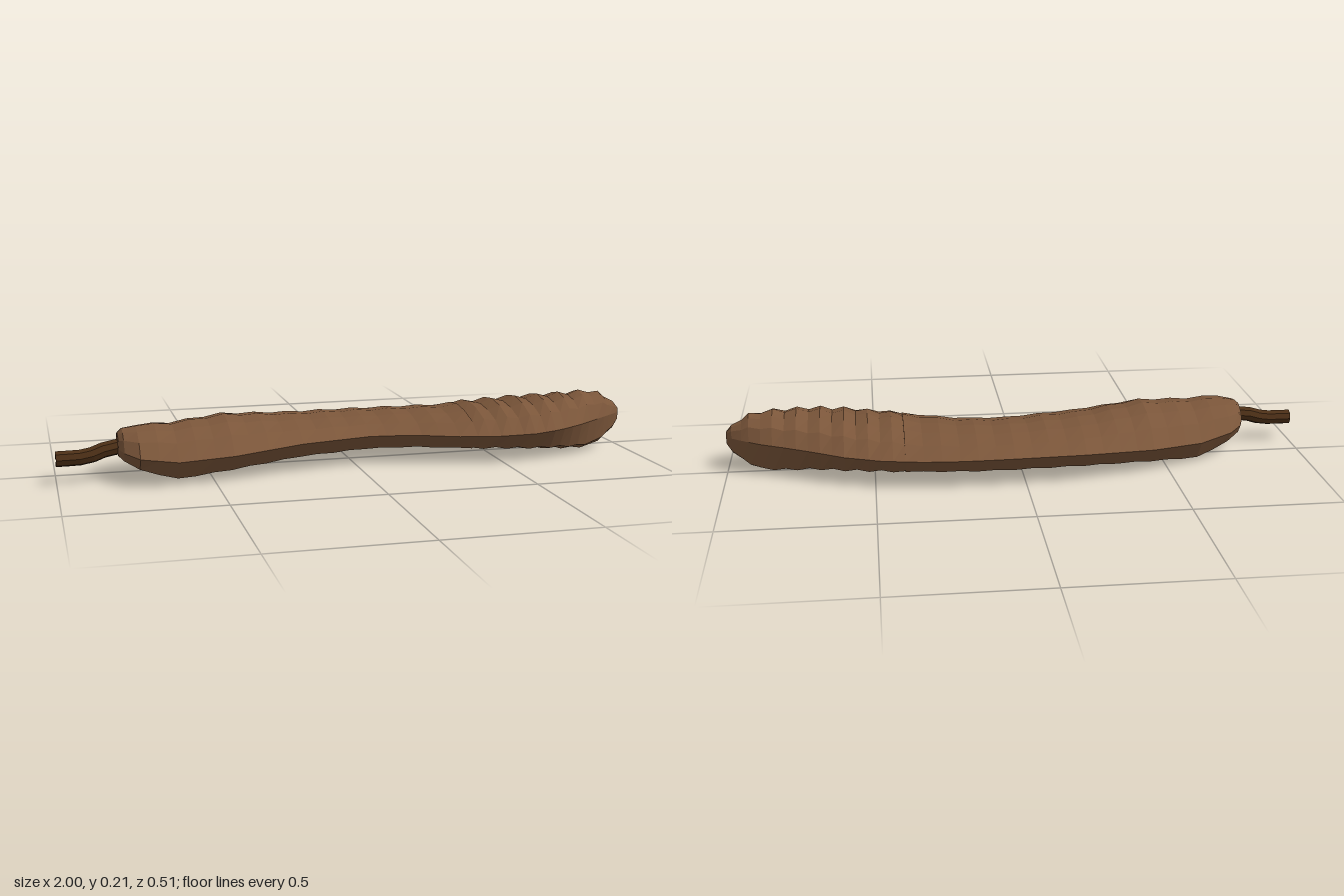
import * as THREE from 'three';

// Stations along the pod: x, back z, front z, seam y, top y, bottom y
const STATIONS = [
  [-0.8, 0.02, 0.14, 0.115, 0.16, 0.085],
  [-0.785, -0.02, 0.18, 0.11, 0.173, 0.07],
  [-0.74, -0.065, 0.235, 0.1, 0.182, 0.045],
  [-0.62, -0.125, 0.256, 0.088, 0.178, 0.005],
  [-0.44, -0.19, 0.243, 0.095, 0.19, 0.022],
  [-0.2, -0.244, 0.18, 0.108, 0.168, 0.038],
  [0.05, -0.259, 0.131, 0.11, 0.162, 0.042],
  [0.2, -0.257, 0.145, 0.108, 0.163, 0.042],
  [0.35, -0.242, 0.2, 0.106, 0.168, 0.04],
  [0.48, -0.219, 0.228, 0.107, 0.186, 0.038],
  [0.6, -0.18, 0.235, 0.11, 0.198, 0.032],
  [0.7, -0.132, 0.216, 0.115, 0.205, 0.025],
  [0.8, -0.09, 0.17, 0.12, 0.208, 0.013],
  [0.88, -0.06, 0.12, 0.124, 0.211, 0.012],
  [0.94, -0.027, 0.082, 0.127, 0.195, 0.038],
  [0.98, 0.003, 0.053, 0.127, 0.167, 0.07],
  [1.0, 0.027, 0.033, 0.125, 0.142, 0.1],
];

// Angular section with sharp side seams: [across -1..1, height -1..1]
const SECTION = [
  [-1, 0], [-0.72, 0.58], [-0.36, 0.88], [0, 1], [0.36, 0.88], [0.72, 0.58],
  [1, 0], [0.74, -0.78], [0.3, -0.98], [-0.25, -1], [-0.72, -0.86],
];

function stationAt(x) {
  let i = 0;
  while (i < STATIONS.length - 2 && STATIONS[i + 1][0] < x) i++;
  const a = STATIONS[i], b = STATIONS[i + 1];
  const t = (x - a[0]) / (b[0] - a[0]);
  return a.map((v, k) => THREE.MathUtils.lerp(v, b[k], t));
}

function podGeometry() {
  // Ring positions: broad ribs on the body, tight wrinkles near the tip
  const xs = [-0.8, -0.785, -0.74];
  for (let x = -0.68; x < 0.4; x += 0.06) xs.push(x);
  for (let x = 0.4; x < 0.93; x += 0.04) xs.push(x);
  xs.push(0.945, 0.98, 1);

  const positions = [], index = [], n = SECTION.length;
  xs.forEach((x, i) => {
    const [, back, front, seam, top, bottom] = stationAt(x);
    const strength = x > 0.95 || x < -0.75 ? 0 : x > 0.4 ? 0.007 : 0.003;
    const ripple = strength * (i % 2 ? 1 : -1);
    for (const [u, h] of SECTION) {
      const y = h > 0
        ? seam + h * (top - seam + ripple)
        : seam + h * (seam - bottom + ripple * 0.6);
      positions.push(x, Math.max(0, y), (back + front) / 2 + u * (front - back) / 2);
    }
  });
  for (let i = 0; i < xs.length - 1; i++) {
    for (let j = 0; j < n; j++) {
      const a = i * n + j, b = i * n + (j + 1) % n;
      index.push(a, b, a + n, b, b + n, a + n);
    }
  }
  // Close both ends
  const last = (xs.length - 1) * n, centre = positions.length / 3;
  positions.push(-0.805, 0.12, 0.085, 1, 0.122, 0.03);
  for (let j = 0; j < n; j++) {
    const k = (j + 1) % n;
    index.push(centre, k, j, centre + 1, last + j, last + k);
  }
  const geometry = new THREE.BufferGeometry();
  geometry.setAttribute('position', new THREE.Float32BufferAttribute(positions, 3));
  geometry.setIndex(index);
  geometry.computeVertexNormals();
  return geometry;
}

export function createModel() {
  const group = new THREE.Group();
  group.name = 'seedPod';

  const pod = new THREE.Mesh(podGeometry(),
    new THREE.MeshStandardMaterial({ color: 0x7b563a, flatShading: true }));
  pod.name = 'pod';
  group.add(pod);

  // Short bent stalk with a closed outer end
  const stemMaterial = new THREE.MeshStandardMaterial({ color: 0x4c2f16, flatShading: true });
  const path = new THREE.CatmullRomCurve3([
    new THREE.Vector3(-1, 0.089, 0.112),
    new THREE.Vector3(-0.9, 0.092, 0.109),
    new THREE.Vector3(-0.84, 0.11, 0.101),
    new THREE.Vector3(-0.77, 0.118, 0.092),
  ]);
  const stem = new THREE.Mesh(new THREE.TubeGeometry(path, 6, 0.026, 8), stemMaterial);
  stem.name = 'stem';
  const cap = new THREE.Mesh(new THREE.CircleGeometry(0.026, 8), stemMaterial);
  cap.name = 'stemEnd';
  cap.position.set(-1, 0.089, 0.112);
  cap.rotation.y = -Math.PI / 2;
  group.add(stem, cap);

  return group;
}
